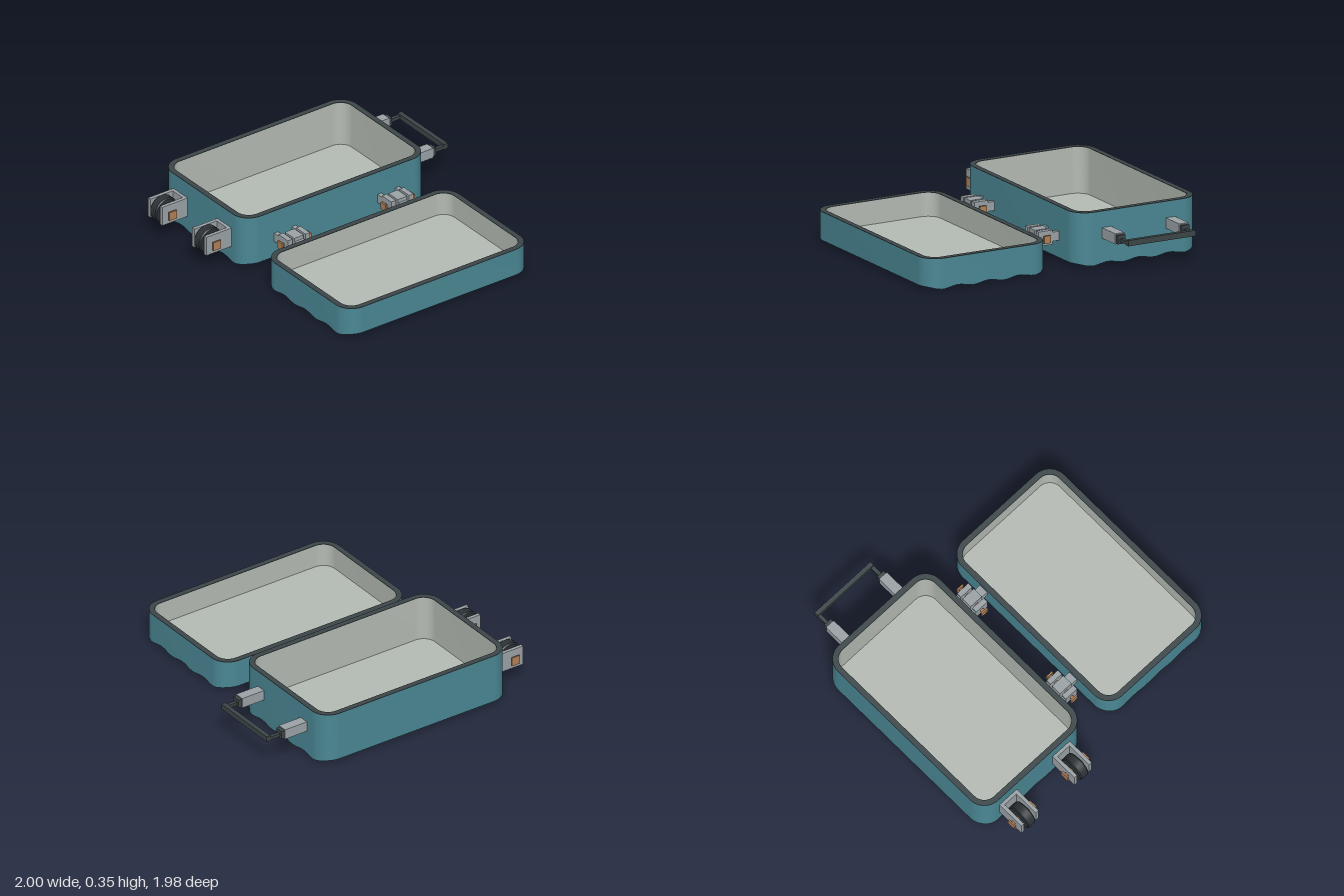
import * as THREE from 'three';
import { toCreasedNormals } from 'three/addons/utils/BufferGeometryUtils.js';

const mat = (color) => new THREE.MeshStandardMaterial({ color });
const teal = mat(0x4a8794), liningMat = mat(0xb4bab3), dark = mat(0x3c4648);
const metal = mat(0x9aa2a6), copper = mat(0xb08058), rubber = mat(0x2c3236);

const HW = 0.45, HL = 0.73, R = 0.125; // half width, half length, corner radius

function add(parent, name, geo, material, x = 0, y = 0, z = 0) {
  const m = new THREE.Mesh(geo, material);
  m.name = name;
  m.position.set(x, y, z);
  parent.add(m);
  return m;
}

// box given by its min and max corners
function box(parent, name, material, [x0, y0, z0], [x1, y1, z1]) {
  return add(parent, name, new THREE.BoxGeometry(x1 - x0, y1 - y0, z1 - z0), material,
    (x0 + x1) / 2, (y0 + y1) / 2, (z0 + z1) / 2);
}

// rounded rectangle, inset from the outer outline
function outline(inset, Type = THREE.Shape) {
  const w = HW - inset, l = HL - inset, r = R - inset, s = new Type();
  const q = Math.PI / 2;
  s.absarc(w - r, l - r, r, 0, q);
  s.absarc(r - w, l - r, r, q, 2 * q);
  s.absarc(r - w, r - l, r, 2 * q, 3 * q);
  s.absarc(w - r, r - l, r, 3 * q, 4 * q);
  s.closePath();
  return s;
}

// slab or ring (when inner is given) between two heights
function layer(outer, inner, y0, y1) {
  const s = outline(outer);
  if (inner !== undefined) s.holes.push(outline(inner, THREE.Path));
  const g = new THREE.ExtrudeGeometry(s, { depth: y1 - y0, bevelEnabled: false, curveSegments: 10 });
  g.rotateX(-Math.PI / 2).translate(0, y0, 0);
  return toCreasedNormals(g, 0.6);
}

// corrugated underside: quad sections swept across x, ridges running along z
function ribbedBase(top) {
  const xs = [];
  const n = 10, m = 40, a = HW - R;
  for (let i = 0; i <= n; i++) xs.push(-a - R * Math.cos((i / n) * Math.PI / 2));
  for (let i = 1; i < m; i++) xs.push(-a + (2 * a * i) / m);
  for (let i = n; i >= 0; i--) xs.push(a + R * Math.cos((i / n) * Math.PI / 2));
  const pos = [], idx = [];
  for (const x of xs) {
    const d = Math.max(0, Math.abs(x) - a);
    const h = HL - R + Math.sqrt(Math.max(0, R * R - d * d));
    const y = 0.008 + 0.008 * Math.cos((4 * Math.PI * (x + HW)) / HW);
    pos.push(x, y, h, x, top, h, x, top, -h, x, y, -h);
  }
  for (let i = 0; i < xs.length - 1; i++) {
    for (let k = 0; k < 4; k++) {
      const p = i * 4 + k, q = i * 4 + ((k + 1) % 4);
      idx.push(p, p + 4, q, q, p + 4, q + 4);
    }
  }
  const e = (xs.length - 1) * 4;
  idx.push(0, 1, 2, 0, 2, 3, e, e + 2, e + 1, e, e + 3, e + 2);
  const g = new THREE.BufferGeometry();
  g.setAttribute('position', new THREE.Float32BufferAttribute(pos, 3));
  g.setIndex(idx);
  return toCreasedNormals(g, 0.6);
}

function shell(name, x, height) {
  const g = new THREE.Group();
  g.name = name;
  g.position.set(x, 0, 0.04);
  add(g, 'ribbedBase', ribbedBase(0.02), teal);
  add(g, 'outerWall', layer(0, 0.02, 0.018, height - 0.004), teal);
  add(g, 'innerLining', layer(0.02, 0.036, 0.018, height - 0.004), liningMat);
  add(g, 'liningFloor', layer(0.03, undefined, 0.02, 0.045), liningMat);
  add(g, 'rim', layer(0, 0.038, height - 0.004, height), dark);
  return g;
}

// interleaved knuckles around a pin with square heads
function hinge(z) {
  const g = new THREE.Group();
  g.name = 'hinge';
  g.position.set(0, 0.155, z);
  for (const s of [-1, 1]) {
    const c = s * 0.07;
    box(g, 'outerKnuckle', metal, [-0.05, -0.045, c - 0.018], [0.05, 0.05, c + 0.018]);
    box(g, 'outerKnuckleArm', metal, [-0.11, -0.025, c - 0.016], [-0.05, 0.035, c + 0.016]);
    box(g, 'pinHead', copper, [-0.025, -0.025, s * 0.111 - 0.006], [0.025, 0.025, s * 0.111 + 0.006]);
  }
  box(g, 'innerKnuckle', metal, [-0.05, -0.045, -0.037], [0.05, 0.05, 0.037]);
  box(g, 'innerKnuckleArm', metal, [0.05, -0.025, -0.034], [0.11, 0.025, 0.034]);
  const pin = add(g, 'pin', new THREE.CylinderGeometry(0.014, 0.014, 0.22, 12), copper);
  pin.rotation.x = Math.PI / 2;
  return g;
}

// wheel held in a forked bracket
function caster(x) {
  const g = new THREE.Group();
  g.name = 'caster';
  g.position.set(x, 0.175, 0.9);
  box(g, 'bracketBack', metal, [-0.076, -0.065, -0.135], [0.076, 0.07, -0.108]);
  for (const s of [-1, 1]) {
    box(g, 'forkPlate', metal, [s * 0.064 - 0.012, -0.065, -0.125], [s * 0.064 + 0.012, 0.07, 0.07]);
    box(g, 'axleHead', copper, [s * 0.092 - 0.005, -0.035, -0.03], [s * 0.092 + 0.005, 0.025, 0.03]);
  }
  const axle = add(g, 'axle', new THREE.CylinderGeometry(0.015, 0.015, 0.18, 12), copper);
  axle.rotation.z = Math.PI / 2;
  // tyre with slightly rounded shoulders
  const profile = [[0, -0.033], [0.082, -0.033], [0.09, -0.026], [0.09, 0.026], [0.082, 0.033], [0, 0.033]]
    .map(([r, y]) => new THREE.Vector2(r, y));
  const tyre = add(g, 'wheel', toCreasedNormals(new THREE.LatheGeometry(profile, 32), 0.5), rubber);
  tyre.rotation.z = Math.PI / 2;
  return g;
}

// telescopic handle on the back of the deep shell
function handle() {
  const g = new THREE.Group();
  g.name = 'handle';
  for (const x of [-0.785, -0.315]) {
    box(g, 'handleTube', metal, [x - 0.034, 0.175, -0.86], [x + 0.034, 0.245, -0.67]);
    box(g, 'handleCollar', dark, [x - 0.028, 0.18, -0.885], [x + 0.028, 0.238, -0.858]);
    box(g, 'handleRod', dark, [x - 0.012, 0.193, -0.965], [x + 0.012, 0.215, -0.88]);
  }
  box(g, 'handleGrip', dark, [-0.798, 0.19, -0.99], [-0.302, 0.228, -0.96]);
  return g;
}

export function createModel() {
  const model = new THREE.Group();
  model.name = 'openSuitcase';
  model.add(shell('deepShell', -0.55, 0.355), shell('lidShell', 0.55, 0.205));
  for (const z of [-0.37, 0.45]) model.add(hinge(z));
  for (const x of [-0.785, -0.315]) model.add(caster(x));
  model.add(handle());
  return model;
}
